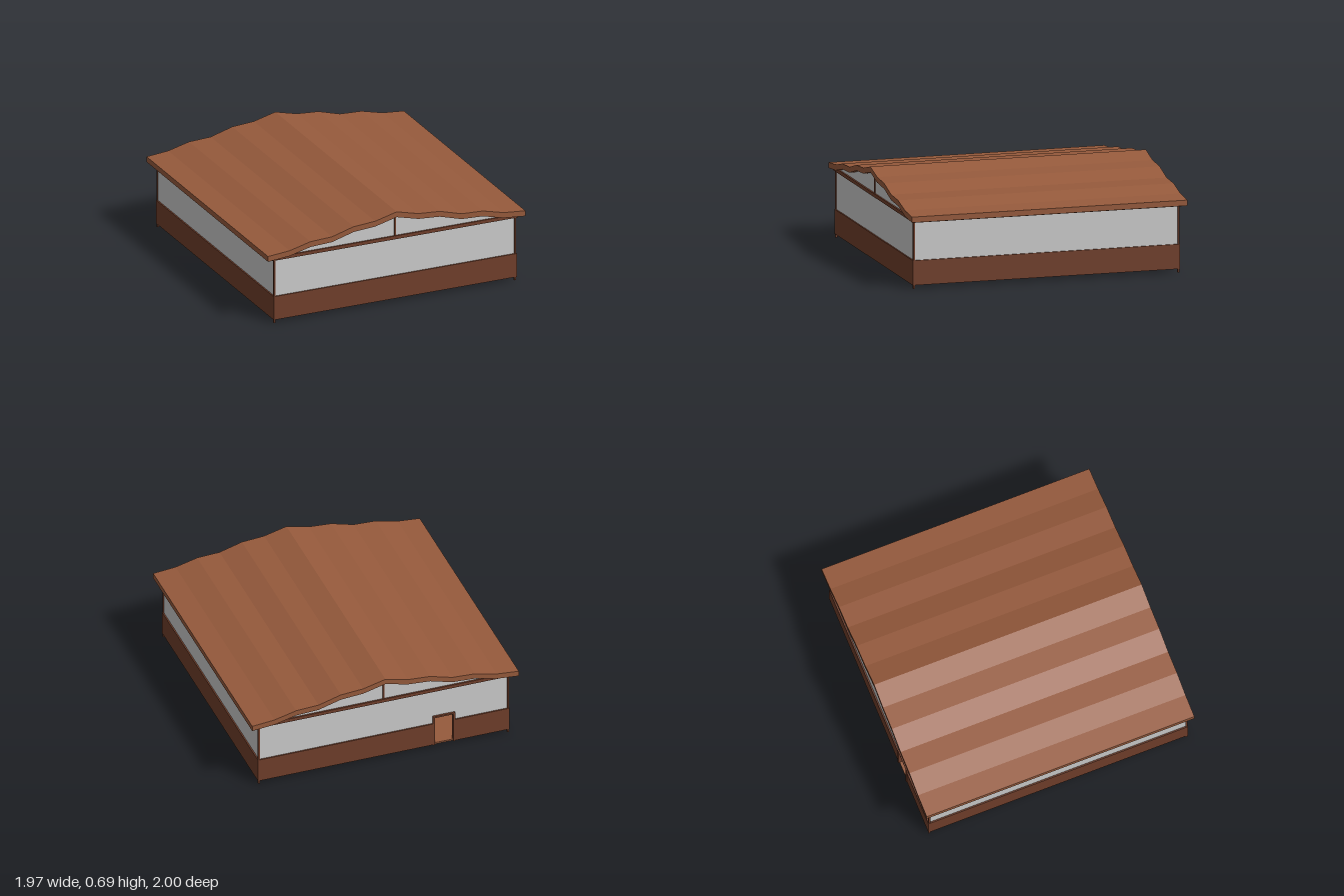
import * as THREE from 'three';

const grey = new THREE.MeshStandardMaterial({ color: 0xcccccc });
const roofBrown = new THREE.MeshStandardMaterial({ color: 0x965a3c });
const darkBrown = new THREE.MeshStandardMaterial({ color: 0x703e2a });

// Right half of the wavy roof line, from ridge to eave
const wave = [[0, 0.685], [0.165, 0.643], [0.33, 0.631], [0.495, 0.584], [0.66, 0.576], [0.82, 0.536], [0.985, 0.521]];
const roofLine = [...wave.slice(1).reverse().map(([x, y]) => [-x, y]), ...wave];
const roofThickness = 0.04;

const FRONT = 0.965, BACK = -0.955, SIDE = 0.92; // outer wall faces
const DOOR = { x0: -0.52, x1: -0.37, top: 0.255 };

export function createModel() {
  const model = new THREE.Group();
  model.name = 'pavilion';

  const add = (name, geometry, material) => {
    const mesh = new THREE.Mesh(geometry, material);
    mesh.name = name;
    model.add(mesh);
    return mesh;
  };
  // Box given by its limits on each axis
  const box = (name, material, x0, x1, y0, y1, z0, z1) =>
    add(name, new THREE.BoxGeometry(x1 - x0, y1 - y0, z1 - z0), material)
      .position.set((x0 + x1) / 2, (y0 + y1) / 2, (z0 + z1) / 2);
  // Outline in x and y, extruded from z0 to z1
  const slab = (name, material, points, z0, z1) => {
    const shape = new THREE.Shape(points.map(([x, y]) => new THREE.Vector2(x, y)));
    const geometry = new THREE.ExtrudeGeometry(shape, { depth: z1 - z0, bevelEnabled: false });
    add(name, geometry, material).position.z = z0;
  };

  // Wavy roof
  const underside = roofLine.map(([x, y]) => [x, y - roofThickness]);
  slab('roof', roofBrown, [...underside, ...[...roofLine].reverse()], -1, 1);

  // Floor
  box('floor', roofBrown, -0.925, 0.925, 0.025, 0.037, BACK - 0.005, FRONT + 0.005);

  // End walls and gables, with a notch for the doorway at the back
  const wallBottom = 0.19;
  const notch = [[DOOR.x0, wallBottom], [DOOR.x0, DOOR.top], [DOOR.x1, DOOR.top], [DOOR.x1, wallBottom]];
  const endWall = (name, z0, z1, cut) =>
    slab(name, grey, [[-SIDE, wallBottom], ...cut, [SIDE, wallBottom], [SIDE, 0.475], [0.82, 0.505],
      ...[...underside].reverse().filter(([x]) => Math.abs(x) < 0.8).map(([x, y]) => [x, y + 0.01]),
      [-0.82, 0.505], [-SIDE, 0.475]], z0, z1);
  endWall('frontWall', FRONT - 0.01, FRONT, []);
  endWall('backWall', BACK, BACK + 0.01, notch);

  // Skirting boards at front and back
  box('frontBase', darkBrown, -0.93, 0.93, 0.025, 0.2, FRONT - 0.005, FRONT + 0.01);
  box('backBase', darkBrown, -0.93, DOOR.x0, 0.025, 0.2, BACK - 0.01, BACK + 0.005);
  box('backBase', darkBrown, DOOR.x1, 0.93, 0.025, 0.2, BACK - 0.01, BACK + 0.005);

  // Side walls, bases, eave beams and corner posts
  for (const s of [-1, 1]) {
    const sideBox = (name, material, a, b, ...rest) =>
      box(name, material, Math.min(s * a, s * b), Math.max(s * a, s * b), ...rest);
    sideBox('sideWall', grey, SIDE - 0.01, SIDE, 0.19, 0.48, BACK + 0.01, FRONT - 0.01);
    sideBox('sideBase', darkBrown, SIDE - 0.005, 0.93, 0.025, 0.2, BACK - 0.01, FRONT + 0.01);
    sideBox('eaveBeam', darkBrown, SIDE - 0.01, 0.94, 0.47, 0.487, BACK - 0.015, FRONT + 0.012);
    for (const z of [BACK, FRONT]) sideBox('cornerPost', darkBrown, 0.914, 0.927, 0, 0.475, z - 0.007, z + 0.007);
  }

  // Tie beams and king posts on both gables
  for (const z of [BACK, FRONT]) {
    box('tieBeam', darkBrown, -0.94, 0.94, 0.47, 0.495, z - 0.012, z + 0.012);
    box('kingPost', darkBrown, -0.006, 0.006, 0.49, 0.655, z - 0.007, z + 0.007);
  }

  // Door frame
  for (const x of [DOOR.x0, DOOR.x1])
    box('doorJamb', darkBrown, x - 0.007, x + 0.007, 0.025, 0.262, BACK - 0.015, BACK + 0.012);
  box('doorLintel', darkBrown, DOOR.x0, DOOR.x1, 0.25, 0.262, BACK - 0.015, BACK + 0.012);

  return model;
}
